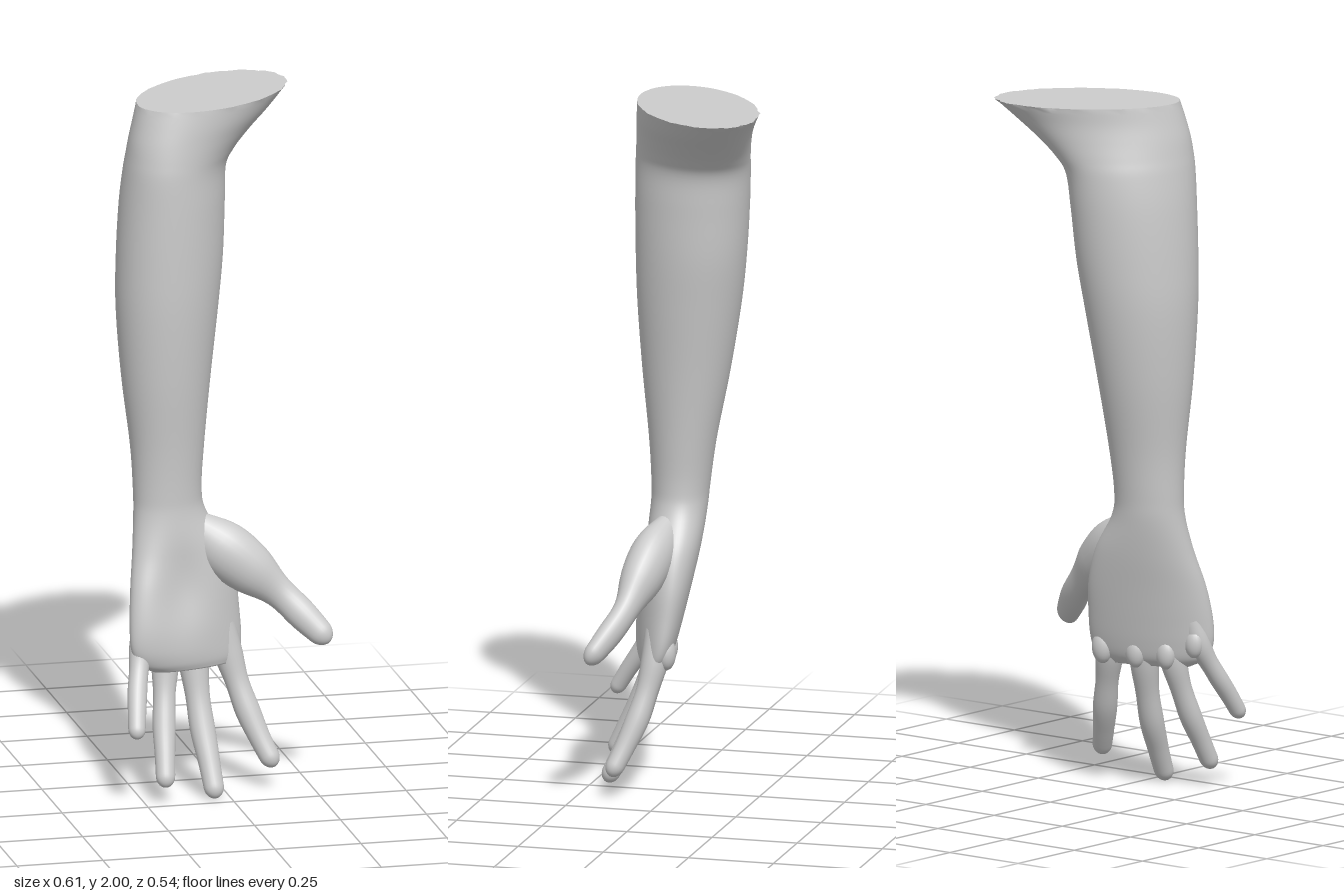
import * as THREE from 'three';

const material = new THREE.MeshStandardMaterial({ color: 0xcccccc, roughness: 0.8 });
const V = (x, y, z) => new THREE.Vector3(x, y, z);

// Smooth skin over a list of closed rings, with a point closing the far end
function skin(name, rings) {
  const n = rings[0].length, points = rings.flat(), index = [];
  for (let i = 0; i < rings.length - 1; i++) {
    for (let j = 0; j < n; j++) {
      const a = i * n + j, b = i * n + (j + 1) % n;
      index.push(a, b, a + n, b, b + n, a + n);
    }
  }
  const last = rings[rings.length - 1], start = points.length - n;
  const end = last.reduce((s, p) => s.add(p), V(0, 0, 0)).divideScalar(n);
  points.push(end);
  for (let j = 0; j < n; j++) index.push(start + j, start + (j + 1) % n, points.length - 1);
  const geometry = new THREE.BufferGeometry().setFromPoints(points);
  geometry.setIndex(index);
  geometry.computeVertexNormals();
  const mesh = new THREE.Mesh(geometry, material);
  mesh.name = name;
  return mesh;
}

// Arm and palm sections: y, x from, x to, z from, z to, skew
const sections = [
  [2.00, -0.225, 0.245, -0.270, 0.125, -0.45],
  [1.95, -0.238, 0.190, -0.242, 0.133, -0.42],
  [1.90, -0.250, 0.130, -0.222, 0.140, -0.38],
  [1.85, -0.258, 0.078, -0.208, 0.146, -0.32],
  [1.80, -0.265, 0.047, -0.200, 0.150, -0.26],
  [1.70, -0.275, 0.040, -0.193, 0.151, -0.20],
  [1.55, -0.283, 0.032, -0.180, 0.150, -0.16],
  [1.40, -0.284, 0.015, -0.160, 0.146, -0.12],
  [1.20, -0.270, -0.010, -0.125, 0.132, -0.10],
  [1.00, -0.247, -0.031, -0.085, 0.112, -0.10],
  [0.87, -0.240, -0.040, -0.066, 0.105, -0.10],
  [0.80, -0.241, -0.028, -0.060, 0.108, -0.15],
  [0.70, -0.252, 0.030, -0.054, 0.128, -0.35],
  [0.60, -0.267, 0.060, -0.040, 0.152, -0.55],
  [0.50, -0.275, 0.070, -0.020, 0.166, -0.68],
  [0.43, -0.272, 0.073, -0.003, 0.166, -0.74],
  [0.385, -0.250, 0.066, 0.014, 0.155, -0.74],
  [0.36, -0.205, 0.045, 0.035, 0.138, -0.74],
];

function armRings(sides = 64, steps = 100) {
  const xs = new THREE.CatmullRomCurve3(sections.map(s => V(s[1], s[0], s[2])), false, 'catmullrom');
  const zs = new THREE.CatmullRomCurve3(sections.map(s => V(s[3], s[5], s[4])), false, 'catmullrom');
  const rings = [];
  for (let i = 0; i <= steps; i++) {
    const a = xs.getPoint(i / steps), b = zs.getPoint(i / steps), ring = [];
    for (let j = 0; j < sides; j++) {
      const t = j / sides * Math.PI * 2;
      const x = (a.x + a.z) / 2 + (a.z - a.x) / 2 * Math.cos(t);
      const s = Math.sin(t + b.y);
      let z = (b.x + b.z) / 2 + (b.z - b.x) / 2 * s;
      // Hollow of the palm
      if (Math.sin(t) > 0) {
        const d = ((x + 0.12) / 0.08) ** 2 + ((a.y - 0.6) / 0.12) ** 2;
        z -= 0.028 * Math.exp(-d) * Math.sin(t);
      }
      ring.push(V(x, a.y, z));
    }
    rings.push(ring);
  }
  // Ragged rim at the cut, strongest on the inner side
  rings[0].forEach((p, j) => {
    const k = 1 + (p.x > 0 ? 0.02 : 0.006) * Math.sin(j * 2.4) * Math.cos(j * 1.1);
    p.x *= k;
    p.z *= k;
  });
  return rings;
}

// Tapered digit along a curve with a rounded tip and a nail on its back
function digit(name, path, radii, flat = 0.92, sides = 24, steps = 36) {
  const curve = new THREE.CatmullRomCurve3(path.map(p => V(...p)));
  const size = new THREE.CatmullRomCurve3(radii.map((r, i) => V(i, r, 0)), false, 'catmullrom');
  const length = curve.getLength(), tip = radii[radii.length - 1];
  const frame = u => {
    const T = curve.getTangentAt(u);
    const A = V(0, 0, 1).cross(T).negate().normalize();
    return { T, A, B: T.clone().cross(A) };
  };
  const rings = [];
  for (let i = 0; i <= steps; i++) {
    // Rings gather towards the tip
    const u = Math.sin(i / steps * Math.PI / 2 * 0.995);
    const { A, B } = frame(u), c = curve.getPointAt(u);
    const left = (1 - u) * length / (tip * 1.2);
    const r = size.getPoint(u).y * (left < 1 ? Math.sqrt(1 - (1 - left) ** 2) : 1);
    rings.push(Array.from({ length: sides }, (_, j) => {
      const t = j / sides * Math.PI * 2;
      return c.clone().addScaledVector(A, r * Math.cos(t)).addScaledVector(B, r * flat * Math.sin(t));
    }));
  }
  const group = new THREE.Group();
  group.name = name;
  group.add(skin(name + 'Skin', rings));

  const u = 1 - tip * 1.25 / length, { T, A, B } = frame(u);
  const nail = new THREE.Mesh(new THREE.SphereGeometry(1, 16, 10), material);
  nail.name = name + 'Nail';
  nail.quaternion.setFromRotationMatrix(new THREE.Matrix4().makeBasis(A, B, T.clone().negate()));
  nail.scale.set(tip * 0.68, tip * 0.2, tip * 0.95);
  nail.position.copy(curve.getPointAt(u)).addScaledVector(B, tip * flat * 0.86);
  group.add(nail);
  return group;
}

export function createModel() {
  const model = new THREE.Group();
  model.name = 'arm';

  // Forearm, wrist and palm as one skin
  const rings = armRings();
  model.add(skin('forearmAndPalm', rings));

  // Flat cut at the top
  const rim = rings[0].map(p => p.clone());
  const cut = skin('cutSurface', [rim.reverse()]);
  model.add(cut);

  // Fingers and thumb
  model.add(
    digit('indexFinger', [[0.01, 0.47, 0.045], [0.03, 0.38, 0.05], [0.072, 0.235, 0.083], [0.108, 0.14, 0.118], [0.142, 0.066, 0.15]],
      [0.04, 0.042, 0.034, 0.036, 0.031, 0.028]),
    digit('middleFinger', [[-0.085, 0.47, 0.065], [-0.077, 0.37, 0.075], [-0.064, 0.2, 0.12], [-0.053, 0.1, 0.165], [-0.044, 0.002, 0.212]],
      [0.042, 0.043, 0.035, 0.036, 0.031, 0.028]),
    digit('ringFinger', [[-0.155, 0.47, 0.09], [-0.165, 0.37, 0.1], [-0.18, 0.22, 0.15], [-0.188, 0.13, 0.195], [-0.195, 0.05, 0.235]],
      [0.038, 0.04, 0.032, 0.033, 0.029, 0.027]),
    digit('littleFinger', [[-0.225, 0.5, 0.105], [-0.242, 0.42, 0.125], [-0.262, 0.335, 0.172], [-0.274, 0.27, 0.215], [-0.284, 0.204, 0.256]],
      [0.034, 0.035, 0.028, 0.028, 0.026, 0.024]),
    digit('thumb', [[-0.07, 0.76, 0.03], [0.01, 0.695, 0.055], [0.1, 0.62, 0.078], [0.18, 0.55, 0.1], [0.24, 0.488, 0.136], [0.296, 0.43, 0.176]],
      [0.045, 0.078, 0.074, 0.046, 0.043, 0.032], 0.78),
  );

  // Knuckles on the back of the hand
  [[0.028, 0.405, 0.016], [-0.075, 0.4, 0.038], [-0.163, 0.4, 0.066], [-0.238, 0.435, 0.1]].forEach((p, i) => {
    const knuckle = new THREE.Mesh(new THREE.SphereGeometry(0.032 - i * 0.001, 20, 14), material);
    knuckle.name = 'knuckle' + (i + 1);
    knuckle.scale.set(1, 1.5, 0.85);
    knuckle.position.set(...p);
    model.add(knuckle);
  });
  return model;
}
